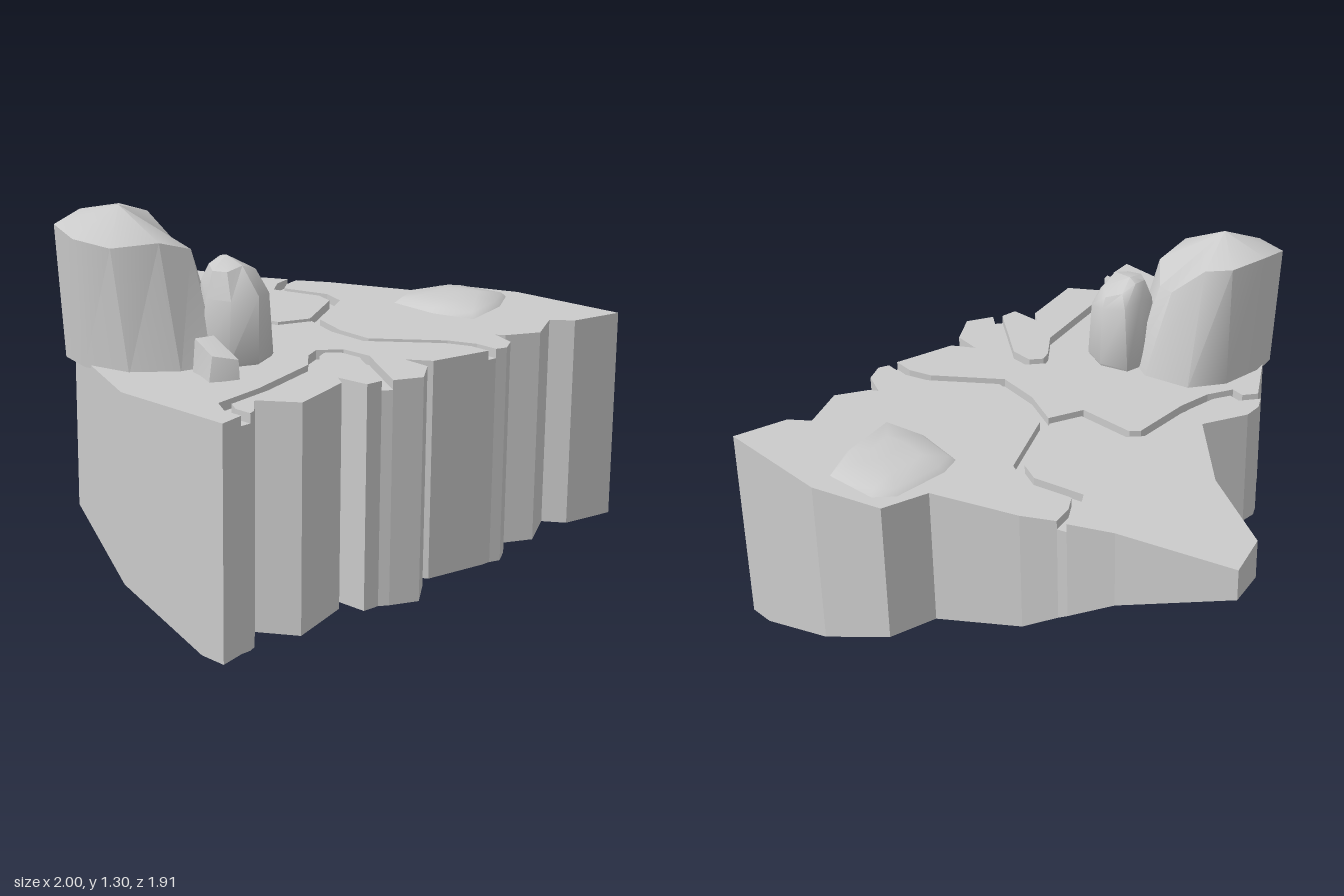
import * as THREE from 'three';
import { toCreasedNormals, mergeGeometries } from 'three/addons/utils/BufferGeometryUtils.js';

const TOP = 0.78, FLOOR = 0.747, HALF = 0.019;

// Crack centre lines, as [x, z], all given from the rim inwards or across
const crackA = [[-.58, -.26], [-.52, -.22], [-.525, -.17], [-.445, -.135], [-.32, -.125], [-.08, -.147], [-.035, -.11], [-.02, .11]];
const crackB = [[.39, .005], [.425, -.09], [.375, -.28], [.445, -.335], [.525, -.36]];
const crackC = [[.055, .33], [.04, .49], [.22, .705], [.255, .8], [.25, .885]];
const crackD = [[-.885, .85], [-.885, .78], [-.85, .72], [-.655, .69], [-.335, .6], [-.245, .515], [-.19, .49], [-.13, .535], [-.13, .64], [-.295, .895]];
const junction = [.12, .16];

// Rim of the slab between crack mouths, counterclockwise seen from above
const rimFront = [[-.84, .84], [-.76, .76], [-.67, .88], [-.42, .81], [-.385, .76], [-.375, .88]];
const rimMiddle = [[-.18, .95], [-.07, .87], [-.06, .76], [-.005, .84]];
const rimRight = [[.31, .9], [.38, .86], [.42, .76], [.44, .79], [.56, .85], [.73, .76], [.79, .83], [1, .87],
  [1, .77], [1, .4], [.91, .13], [.73, .09], [.6, -.23]];
const rimBack = [[.44, -.53], [.3, -.96], [.13, -.89], [-.04, -.54], [-.28, -.25], [-.45, -.32], [-.52, -.31]];
const rimLeft = [[-.79, -.09], [-1, .4], [-1, .77], [-1, .87]];

// Lower edge of the cliff: height by z, a little different on each side
const edgeRight = [[-.96, .66], [-.53, .48], [-.23, .31], [.13, .23], [.4, .13], [.77, 0], [1, 0]];
const edgeLeft = [[-.96, .66], [-.54, .48], [-.31, .3], [-.09, .23], [.4, .13], [.77, 0], [1, 0]];
function cliffBottom([x, z]) {
  const t = x < -.35 ? edgeLeft : edgeRight;
  const i = Math.max(1, t.findIndex(p => p[0] >= z));
  const [z0, y0] = t[i - 1], [z1, y1] = t[i];
  return y0 + (y1 - y0) * (z - z0) / (z1 - z0);
}

// Moves a polyline sideways with mitred corners; positive is left of travel
function offset(path, d) {
  const normal = (a, b) => new THREE.Vector2(b[1] - a[1], a[0] - b[0]).normalize();
  return path.map((p, i) => {
    const n0 = normal(path[Math.max(i - 1, 0)], path[Math.max(i, 1)]);
    const n1 = i < path.length - 1 ? normal(p, path[i + 1]) : n0;
    const m = n0.clone().add(n1).normalize();
    const k = d / Math.max(m.dot(n0), 0.5);
    return [p[0] + m.x * k, p[1] + m.y * k];
  });
}

const at = (pts, y) => pts.map(p => [p[0], typeof y === 'function' ? y(p) : y, p[1]]);

// Row of quads between two 3D polylines
function strip(low, high) {
  const pos = [];
  for (let i = 0; i < low.length - 1; i++)
    pos.push(...low[i], ...low[i + 1], ...high[i + 1], ...low[i], ...high[i + 1], ...high[i]);
  const g = new THREE.BufferGeometry();
  g.setAttribute('position', new THREE.Float32BufferAttribute(pos, 3));
  g.computeVertexNormals();
  return g;
}

// Stack of rings closed by an apex above (and a flat cap below)
function loft(rings, apex, crease) {
  const n = rings[0].length, pos = [...rings.flat(), apex], idx = [];
  for (let r = 0; r < rings.length; r++)
    for (let i = 0; i < n; i++) {
      const a = r * n + i, b = r * n + (i + 1) % n;
      if (r === rings.length - 1) idx.push(a, pos.length - 1, b);
      else idx.push(a, a + n, b, b, a + n, b + n);
    }
  for (let i = 1; i < n - 1; i++) idx.push(0, i, i + 1);
  const g = new THREE.BufferGeometry();
  g.setAttribute('position', new THREE.Float32BufferAttribute(pos.flat(), 3));
  g.setIndex(idx);
  return toCreasedNormals(g, crease);
}

export function createModel() {
  const model = new THREE.Group();
  const flat = new THREE.MeshStandardMaterial({ color: 0xcccccc, flatShading: true, side: THREE.DoubleSide });
  const smooth = new THREE.MeshStandardMaterial({ color: 0xcccccc, side: THREE.DoubleSide });
  const add = (name, geometry, material) => {
    const mesh = new THREE.Mesh(geometry, material);
    mesh.name = name;
    model.add(mesh);
  };
  const back = path => [...path].reverse();
  const last = path => path[path.length - 1];

  // Crack banks, each with its plate on the left of travel
  const ab = offset([...crackA, junction, ...crackB], HALF);
  const bc = offset([...back(crackB), junction, ...crackC], HALF);
  const ca = offset([...back(crackC), junction, ...back(crackA)], HALF);
  const dOut = offset(crackD, HALF);
  const dIn = offset(back(crackD), HALF);

  // Ground plates between the cracks
  const plates = {
    groundFront: [...rimFront, ...dIn],
    groundLeft: [...rimLeft, ...dOut, ...rimMiddle, ...ca],
    groundRight: [...rimRight, ...bc],
    groundBack: [...rimBack, ...ab],
  };
  for (const [name, pts] of Object.entries(plates)) {
    const g = new THREE.ShapeGeometry(new THREE.Shape(pts.map(p => new THREE.Vector2(p[0], -p[1]))));
    add(name, g.rotateX(-Math.PI / 2).translate(0, TOP, 0), flat);
  }

  // Crack walls and floors
  add('crackWalls', mergeGeometries([ab, bc, ca, dOut, dIn].map(b => strip(at(b, FLOOR), at(b, TOP)))), flat);
  const floors = [[...crackA, junction, ...crackB], [junction, ...crackC], crackD];
  add('crackFloors', mergeGeometries(floors.map(c =>
    strip(at(offset(c, -HALF), FLOOR), at(offset(c, HALF), FLOOR)))), flat);

  // Cliff wall, notched where the cracks reach the rim
  const runs = [
    [last(dIn), ...rimFront, dIn[0]],
    [last(dOut), ...rimMiddle, ca[0]],
    [last(bc), ...rimRight, bc[0]],
    [last(ab), ...rimBack, ab[0]],
    [last(ca), ...rimLeft, dOut[0]],
  ];
  const walls = runs.flatMap((run, i) => {
    const gap = [last(run), runs[(i + 1) % runs.length][0]];
    return [strip(at(run, cliffBottom), at(run, TOP)), strip(at(gap, cliffBottom), at(gap, FLOOR))];
  });
  add('cliffWall', mergeGeometries(walls), flat);

  // Large boulder
  const bigBase = [[-.87, .06], [-.83, -.09], [-.72, -.12], [-.56, -.11], [-.43, -.03], [-.38, .15], [-.43, .26], [-.56, .385], [-.7, .35], [-.83, .24]];
  const bigRim = [[-.91, 1.21, .06], [-.86, 1.23, -.1], [-.72, 1.26, -.135], [-.56, 1.26, -.12], [-.51, 1.24, -.03],
    [-.47, 1.12, .1], [-.49, 1.11, .18], [-.58, 1.16, .27], [-.72, 1.2, .27], [-.86, 1.19, .19]];
  add('largeBoulder', loft([at(bigBase, .77), bigRim], [-.72, 1.3, .07], 0.75), smooth);

  // Medium boulder
  const midBase = [[-.6, .33], [-.51, .22], [-.425, .2], [-.35, .21], [-.31, .32], [-.345, .42], [-.46, .47], [-.56, .43]];
  const midRim = [[-.57, 1.0, .33], [-.5, 1.04, .23], [-.425, 1.06, .215], [-.35, 1.04, .225], [-.322, 1.02, .32],
    [-.355, 1.0, .41], [-.455, 1.01, .465], [-.54, 1.0, .42]];
  const midTop = [[-.54, 1.09, .33], [-.5, 1.1, .27], [-.43, 1.115, .25], [-.37, 1.09, .26], [-.34, 1.065, .32],
    [-.38, 1.08, .37], [-.46, 1.105, .39], [-.52, 1.09, .38]];
  const midFoot = midBase.map(([x, z]) => [-.455 + (x + .455) * .6, .7, .33 + (z - .33) * .6]);
  add('mediumBoulder', loft([midFoot, at(midBase, .79), midRim, midTop], [-.44, 1.125, .29], 0.75), smooth);

  // Small leaning stone
  const smallBase = [[-.74, .52], [-.68, .38], [-.6, .42], [-.63, .56]];
  const smallTop = [[-.7, .86, .5], [-.67, .893, .385], [-.6, .893, .4], [-.63, .845, .55]];
  add('smallStone', loft([at(smallBase, .73), smallTop], [-.65, .88, .45], 0.5), smooth);

  // Low mound
  const moundBase = [[.49, .4], [.515, .18], [.6, .145], [.83, .14], [.9, .2], [.92, .42], [.77, .51], [.53, .575]];
  const moundRing = k => moundBase.map(([x, z]) => [.71 + (x - .71) * k, z * k + .33 * (1 - k)]);
  add('lowMound', loft([at(moundBase, .77), at(moundRing(.85), .798), at(moundRing(.45), .811)], [.73, .815, .33], 1.2), smooth);

  return model;
}
